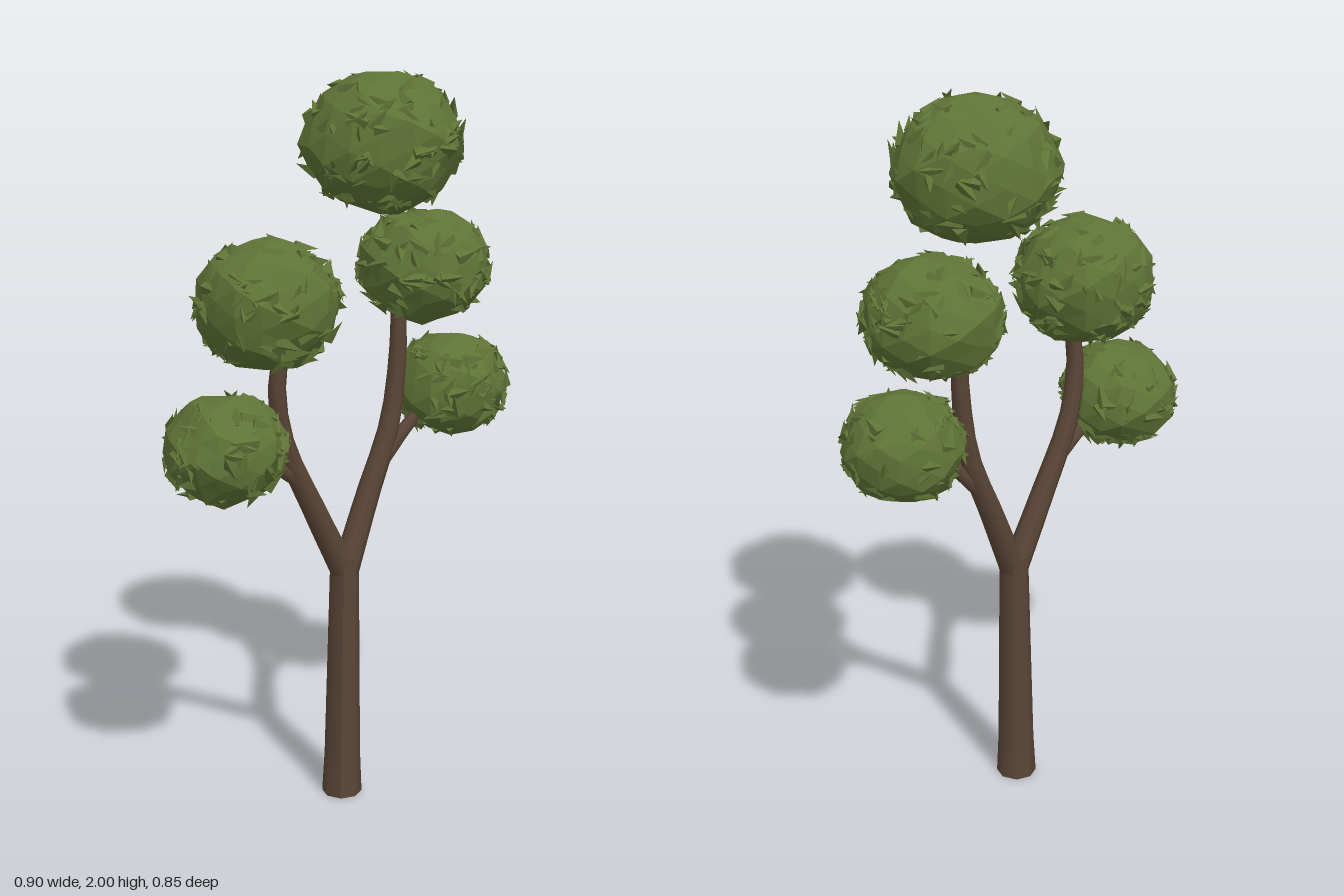
import * as THREE from 'three';
import { mergeGeometries, mergeVertices } from 'three/addons/utils/BufferGeometryUtils.js';

const V = (x, y, z) => new THREE.Vector3(x, y, z);

// Small seeded random generator
function seeded(seed) {
  let s = seed;
  return () => {
    s = (s * 16807) % 2147483647;
    return s / 2147483647;
  };
}

// Tube along a curve whose radius runs from r0 to r1
function taperedTube(points, r0, r1, segments = 10, sides = 8) {
  const curve = new THREE.CatmullRomCurve3(points);
  const geo = new THREE.TubeGeometry(curve, segments, 1, sides);
  const pos = geo.attributes.position;
  const p = V();
  for (let i = 0; i <= segments; i++) {
    const t = i / segments;
    const centre = curve.getPointAt(t);
    const r = r0 + (r1 - r0) * t;
    for (let j = 0; j <= sides; j++) {
      const k = i * (sides + 1) + j;
      p.fromBufferAttribute(pos, k).sub(centre).multiplyScalar(r).add(centre);
      pos.setXYZ(k, p.x, p.y, p.z);
    }
  }
  return geo;
}

// Faceted, slightly lumpy ellipsoid
function crownCore(rx, ry, rz, seed) {
  const geo = new THREE.IcosahedronGeometry(1, 2);
  const pos = geo.attributes.position;
  const p = V();
  for (let i = 0; i < pos.count; i++) {
    p.fromBufferAttribute(pos, i).normalize();
    const lump = 1
      + 0.035 * Math.sin(5 * p.x + seed) * Math.cos(4 * p.z - seed)
      + 0.03 * Math.sin(9 * p.y + 7 * p.x + 2 * seed);
    pos.setXYZ(i, p.x * rx * lump, p.y * ry * lump, p.z * rz * lump);
  }
  geo.computeVertexNormals();
  return geo;
}

// Pointed leaf shards scattered over the ellipsoid, lying nearly flat on it
function leafShards(rx, ry, rz, count, seed) {
  const rand = seeded(seed * 7919 + 13);
  const shards = [];
  for (let i = 0; i < count; i++) {
    const y = -0.85 + 1.75 * rand();
    const a = rand() * Math.PI * 2;
    const c = Math.sqrt(1 - y * y);
    const unit = V(c * Math.cos(a), y, c * Math.sin(a));
    const normal = V(unit.x / rx, unit.y / ry, unit.z / rz).normalize();
    const tangent = V(rand() - 0.5, rand() - 0.5, rand() - 0.5).cross(normal).normalize();
    const dir = tangent.addScaledVector(normal, 0.15 + 0.55 * rand()).normalize();
    const side = V().crossVectors(dir, normal).normalize();
    const up = V().crossVectors(side, dir);
    const size = 0.75 + 0.5 * rand();
    const leaf = new THREE.ConeGeometry(0.024 * size, 0.055 * size, 3, 1);
    leaf.scale(1, 1, 0.5);
    const m = new THREE.Matrix4().makeBasis(side, dir, up);
    m.setPosition(unit.x * rx, unit.y * ry, unit.z * rz);
    leaf.applyMatrix4(m);
    shards.push(leaf);
  }
  return mergeGeometries(shards);
}

export function createModel() {
  const model = new THREE.Group();
  model.name = 'tree';

  const bark = new THREE.MeshStandardMaterial({ color: 0x5a4536 });
  bark.name = 'bark brown';
  const foliage = new THREE.MeshStandardMaterial({ color: 0x5f7336, flatShading: true });
  foliage.name = 'leaf green';

  const add = (parent, geo, mat, name) => {
    const mesh = new THREE.Mesh(geo, mat);
    mesh.name = name;
    parent.add(mesh);
    return mesh;
  };

  // Trunk: tapered, flared a little at the foot and leaning slightly
  const trunk = new THREE.CylinderGeometry(0.039, 0.052, 0.7, 8, 6);
  trunk.translate(0, 0.35, 0);
  const tp = trunk.attributes.position;
  for (let i = 0; i < tp.count; i++) {
    const y = tp.getY(i);
    const flare = 1 + 0.07 * Math.max(0, 1 - y / 0.12);
    tp.setX(i, tp.getX(i) * flare + 0.01 * y);
    tp.setZ(i, tp.getZ(i) * flare - 0.014 * y);
  }
  trunk.computeVertexNormals();
  add(model, mergeVertices(trunk), bark, 'trunk');

  // Forked main branches and the short side branches
  const branches = [
    ['leftMainBranch', 0.037, 0.02, [V(-0.14, 1.36, 0.13), V(-0.16, 1.22, 0.145),
      V(-0.145, 1.06, 0.12), V(-0.07, 0.85, 0.055), V(0.004, 0.66, -0.008)]],
    ['rightMainBranch', 0.037, 0.02, [V(0.145, 1.42, -0.15), V(0.145, 1.25, -0.145),
      V(0.125, 1.05, -0.125), V(0.065, 0.85, -0.07), V(0.01, 0.66, -0.01)]],
    ['leftSideBranch', 0.022, 0.014, [V(-0.25, 1.07, 0.22), V(-0.18, 1.01, 0.15), V(-0.115, 0.95, 0.09)]],
    ['rightSideBranch', 0.022, 0.014, [V(0.26, 1.12, -0.22), V(0.17, 1.03, -0.15), V(0.1, 0.94, -0.1)]],
  ];
  for (const [name, r0, r1, points] of branches) {
    add(model, taperedTube(points.reverse(), r0, r1), bark, name);
  }

  // Leaf clusters: centre, radii, number of leaf shards
  const clusters = [
    ['topCluster', [0.1, 1.81, -0.105], [0.212, 0.185, 0.2], 130],
    ['upperRightCluster', [0.21, 1.465, -0.215], [0.178, 0.153, 0.175], 120],
    ['upperLeftCluster', [-0.18, 1.435, 0.16], [0.185, 0.17, 0.18], 120],
    ['lowerRightCluster', [0.29, 1.13, -0.245], [0.156, 0.142, 0.165], 110],
    ['lowerLeftCluster', [-0.285, 1.075, 0.245], [0.16, 0.142, 0.165], 110],
  ];
  clusters.forEach(([name, centre, radii, count], i) => {
    const cluster = new THREE.Group();
    cluster.name = name;
    cluster.position.set(...centre);
    add(cluster, crownCore(...radii, i + 1), foliage, 'foliageCore');
    add(cluster, leafShards(...radii, count, i + 1), foliage, 'leaves');
    model.add(cluster);
  });

  return model;
}
